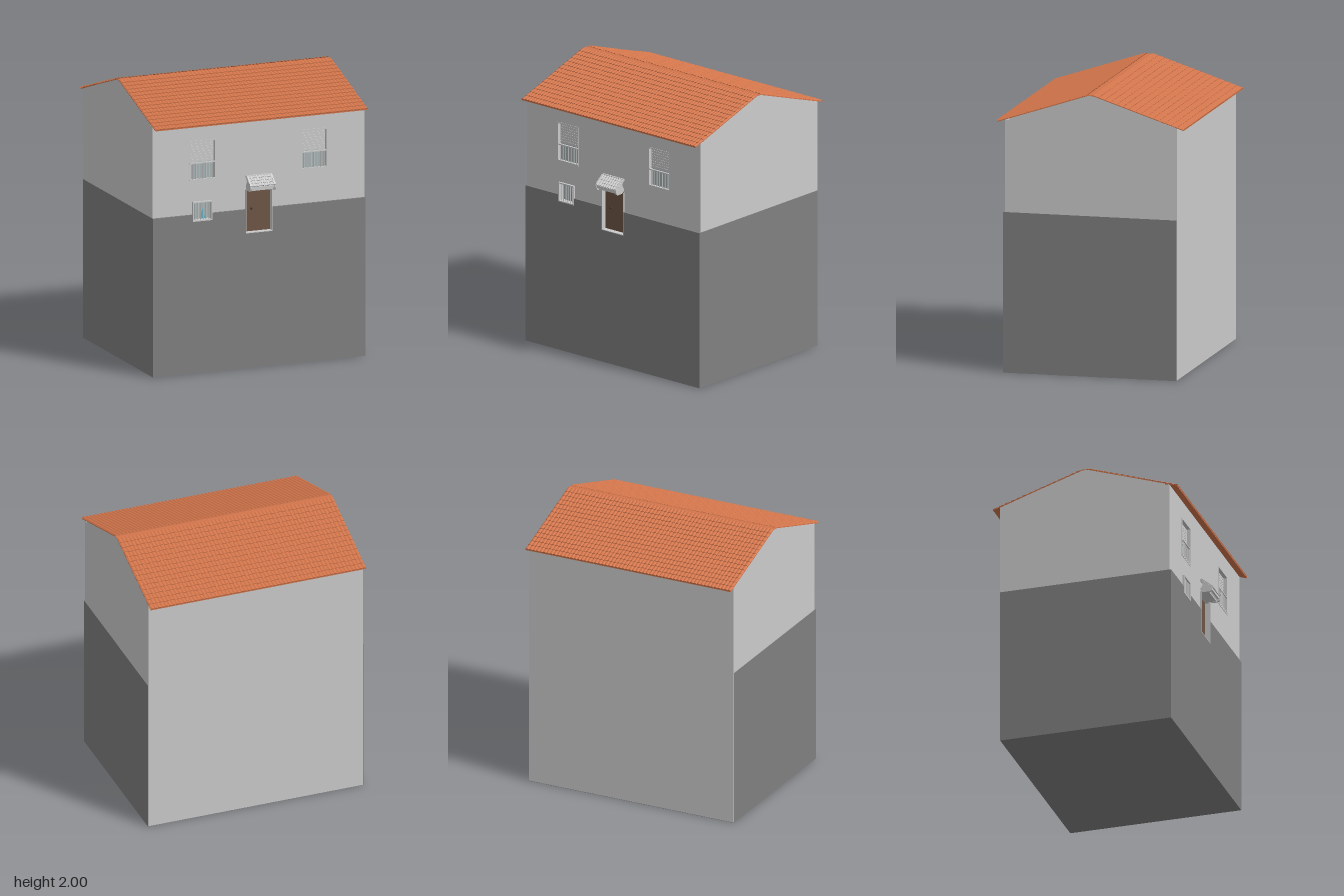
import * as THREE from 'three';

const mat = (color, side = THREE.FrontSide) => new THREE.MeshStandardMaterial({ color, side });
const grey = mat(0xcccccc);
const greyThin = mat(0xcccccc, THREE.DoubleSide);
const stone = mat(0x808080);
const clay = mat(0xd2754b, THREE.DoubleSide);
const wood = mat(0x6e5646);
const dark = mat(0x3a332e);
const glass = mat(0xa9b5b5);
const teal = mat(0x5fb0c0, THREE.DoubleSide);

function add(parent, name, geometry, material) {
  const mesh = new THREE.Mesh(geometry, material);
  mesh.name = name;
  parent.add(mesh);
  return mesh;
}

// Box given by its limits
function box(parent, name, material, x0, x1, y0, y1, z0, z1) {
  const g = new THREE.BoxGeometry(x1 - x0, y1 - y0, z1 - z0);
  g.translate((x0 + x1) / 2, (y0 + y1) / 2, (z0 + z1) / 2);
  return add(parent, name, g, material);
}

const shapeOf = (pts) => new THREE.Shape(pts.map(([a, b]) => new THREE.Vector2(a, b)));

// Profile of [z, y] points extruded along x, centred on cx
function extrudeX(shape, width, cx = 0) {
  const g = new THREE.ExtrudeGeometry(shape, { depth: width, bevelEnabled: false, curveSegments: 8 });
  g.translate(0, 0, -width / 2);
  g.rotateY(-Math.PI / 2);
  return g.translate(cx, 0, 0);
}

// Overlapping rows of rounded tiles from the top line to the bottom line ([z, y] each)
function tileSlope(width, cols, rows, top, bottom, amp, lift) {
  const SEG = 6, n = cols * SEG;
  const dz = bottom[0] - top[0], dy = bottom[1] - top[1];
  const len = Math.hypot(dz, dy), s = Math.sign(dz);
  const nz = (-dy * s) / len, ny = (dz * s) / len;
  const pos = [], idx = [];
  const put = (i, t, h) => pos.push(
    -width / 2 + (width * i) / n,
    top[1] + dy * t + ny * h,
    top[0] + dz * t + nz * h);
  const strip = (t0, t1, h0, h1) => {
    const start = pos.length / 3;
    for (let i = 0; i <= n; i++) {
      const wave = amp * Math.abs(Math.sin((Math.PI * i) / SEG));
      put(i, t0, h0(wave));
      put(i, t1, h1(wave));
    }
    for (let i = 0; i < n; i++) {
      const a = start + i * 2;
      if (s > 0) idx.push(a, a + 1, a + 2, a + 1, a + 3, a + 2);
      else idx.push(a, a + 2, a + 1, a + 1, a + 2, a + 3);
    }
  };
  for (let r = 0; r < rows; r++) {
    const t0 = r / rows, t1 = (r + 1) / rows;
    strip(t0, t1, (w) => w, (w) => w + lift);
    strip(t1, t1, (w) => w + lift, (w) => (r === rows - 1 ? 0 : w));
  }
  const g = new THREE.BufferGeometry();
  g.setAttribute('position', new THREE.Float32BufferAttribute(pos, 3));
  g.setIndex(idx);
  g.computeVertexNormals();
  return g;
}

// Front wall panel whose inner edge steps around the cellar window and the door
function frontPanel(w, yEdge, yEnd, yWindow, yDoor, depth, holes) {
  const s = shapeOf([
    [-w, yEdge], [-0.5, yEdge], [-0.5, yWindow], [-0.355, yWindow], [-0.355, yEdge],
    [-0.1, yEdge], [-0.1, yDoor], [0.1, yDoor], [0.1, yEdge], [w, yEdge], [w, yEnd], [-w, yEnd]]);
  for (const [x0, x1, y0, y1] of holes)
    s.holes.push(new THREE.Path([[x0, y0], [x0, y1], [x1, y1], [x1, y0]].map((p) => new THREE.Vector2(...p))));
  return new THREE.ExtrudeGeometry(s, { depth, bevelEnabled: false }).translate(0, 0, 0.565);
}

function frame(parent, x0, x1, y0, y1, t, z0, z1) {
  box(parent, 'frameLeft', grey, x1 - t, x1, y0, y1, z0, z1);
  box(parent, 'frameRight', grey, x0, x0 + t, y0, y1, z0, z1);
  box(parent, 'frameTop', grey, x0 + t, x1 - t, y1 - t, y1, z0, z1);
  box(parent, 'frameBottom', grey, x0 + t, x1 - t, y0, y0 + t, z0, z1);
}

function bars(parent, count, x0, x1, y0, y1, z, r) {
  for (let i = 1; i <= count; i++) {
    const g = new THREE.CylinderGeometry(r, r, y1 - y0, 6);
    add(parent, 'bar', g, grey).position.set(x0 + ((x1 - x0) * i) / (count + 1), (y0 + y1) / 2, z);
  }
}

// Upper window with a half lowered roller shutter and a railing
function upperWindow(cx) {
  const g = new THREE.Group();
  g.name = 'upperWindow';
  const x0 = -0.1, x1 = 0.1, y0 = 1.37, y1 = 1.66;
  box(g, 'windowPane', glass, x0, x1, y0, y1, 0.563, 0.569);
  frame(g, x0, x1, y0, y1, 0.009, 0.566, 0.603);
  for (let i = 0; i < 8; i++) {
    const y = 1.502 + i * 0.0187;
    box(g, 'shutterSlat', grey, x0 + 0.009, x1 - 0.009, y, y + 0.0175, 0.568, 0.577);
  }
  box(g, 'railingTop', grey, x0, x1, 1.495, 1.503, 0.59, 0.604);
  box(g, 'railingBottom', grey, x0, x1, 1.378, 1.385, 0.59, 0.604);
  bars(g, 7, x0, x1, 1.38, 1.5, 0.597, 0.0035);
  g.position.x = cx;
  return g;
}

export function createModel() {
  const house = new THREE.Group();
  house.name = 'house';

  // Walls: light gabled body, dark plinth on the sides, base and front
  add(house, 'gabledBody', extrudeX(shapeOf([
    [0.565, 0.003], [0.565, 1.8], [0, 1.986], [-0.035, 1.986], [-0.635, 1.785], [-0.635, 0.003]]), 1.596), grey);
  box(house, 'plinth', stone, -0.8, 0.8, 0, 1.135, -0.633, 0.565);
  add(house, 'frontWall', frontPanel(0.798, 1.135, 1.79, 1.225, 1.275, 0.035,
    [[-0.52, -0.32, 1.37, 1.66], [0.32, 0.52, 1.37, 1.66]]), grey);
  add(house, 'frontPlinth', frontPanel(0.8, 1.135, 0, 1.085, 0.965, 0.048, []), stone);

  // Roof: two tiled slopes on thin decks, with a flat ridge strip
  const slopes = [['frontRoof', [0.005, 1.99], [0.655, 1.776]], ['backRoof', [-0.035, 1.99], [-0.685, 1.776]]];
  for (const [name, top, low] of slopes) {
    const g = new THREE.Group();
    g.name = name;
    add(g, 'tiles', tileSlope(1.6, 60, 15, top, low, 0.006, 0.004), clay);
    add(g, 'deck', extrudeX(shapeOf([top, low, [low[0], low[1] - 0.006], [top[0], top[1] - 0.006]]), 1.6), clay);
    house.add(g);
  }
  box(house, 'ridgeStrip', clay, -0.8, 0.8, 1.984, 1.989, -0.036, 0.006);

  // Windows
  for (const x of [-0.42, 0.42]) house.add(upperWindow(x));
  const cellar = new THREE.Group();
  cellar.name = 'smallBarredWindow';
  box(cellar, 'windowPane', glass, -0.5, -0.355, 1.085, 1.225, 0.563, 0.57);
  const shard = new THREE.ShapeGeometry(shapeOf([[-0.435, 1.092], [-0.39, 1.092], [-0.41, 1.165]]));
  add(cellar, 'blueGlassPiece', shard.translate(0, 0, 0.573), teal);
  frame(cellar, -0.5, -0.355, 1.085, 1.225, 0.008, 0.566, 0.616);
  bars(cellar, 6, -0.5, -0.355, 1.09, 1.22, 0.604, 0.0035);
  house.add(cellar);

  // Recessed door with pale reveals and sill
  const door = new THREE.Group();
  door.name = 'door';
  box(door, 'doorLeaf', wood, -0.1, 0.1, 0.965, 1.275, 0.563, 0.575);
  for (const s of [-1, 1])
    box(door, 'doorReveal', grey, s * 0.099 - 0.002, s * 0.099 + 0.002, 0.965, 1.275, 0.566, 0.614);
  box(door, 'doorSill', grey, -0.1, 0.1, 0.963, 0.968, 0.566, 0.614);
  add(door, 'doorKnob', new THREE.SphereGeometry(0.009, 12, 8), dark).position.set(-0.045, 1.13, 0.581);
  house.add(door);

  // Small tiled canopy on scrolled brackets over the door
  const canopy = new THREE.Group();
  canopy.name = 'doorCanopy';
  const bracket = new THREE.Shape();
  bracket.moveTo(0.598, 1.375);
  bracket.lineTo(0.617, 1.372);
  bracket.lineTo(0.672, 1.328);
  bracket.bezierCurveTo(0.69, 1.312, 0.69, 1.278, 0.668, 1.271);
  bracket.lineTo(0.625, 1.271);
  bracket.quadraticCurveTo(0.608, 1.277, 0.598, 1.3);
  bracket.quadraticCurveTo(0.618, 1.32, 0.618, 1.335);
  bracket.quadraticCurveTo(0.616, 1.352, 0.598, 1.36);
  for (const x of [-0.09, 0.09]) add(canopy, 'bracket', extrudeX(bracket, 0.012, x), grey);
  add(canopy, 'canopyTiles', tileSlope(0.194, 9, 4, [0.606, 1.371], [0.681, 1.31], 0.005, 0.003), greyThin);
  box(canopy, 'canopyTopBar', grey, -0.097, 0.097, 1.36, 1.375, 0.598, 0.612);
  box(canopy, 'canopyFrontBar', grey, -0.09, 0.09, 1.29, 1.308, 0.668, 0.681);
  box(canopy, 'canopyLowerBar', grey, -0.09, 0.09, 1.275, 1.285, 0.598, 0.66);
  house.add(canopy);

  return house;
}
